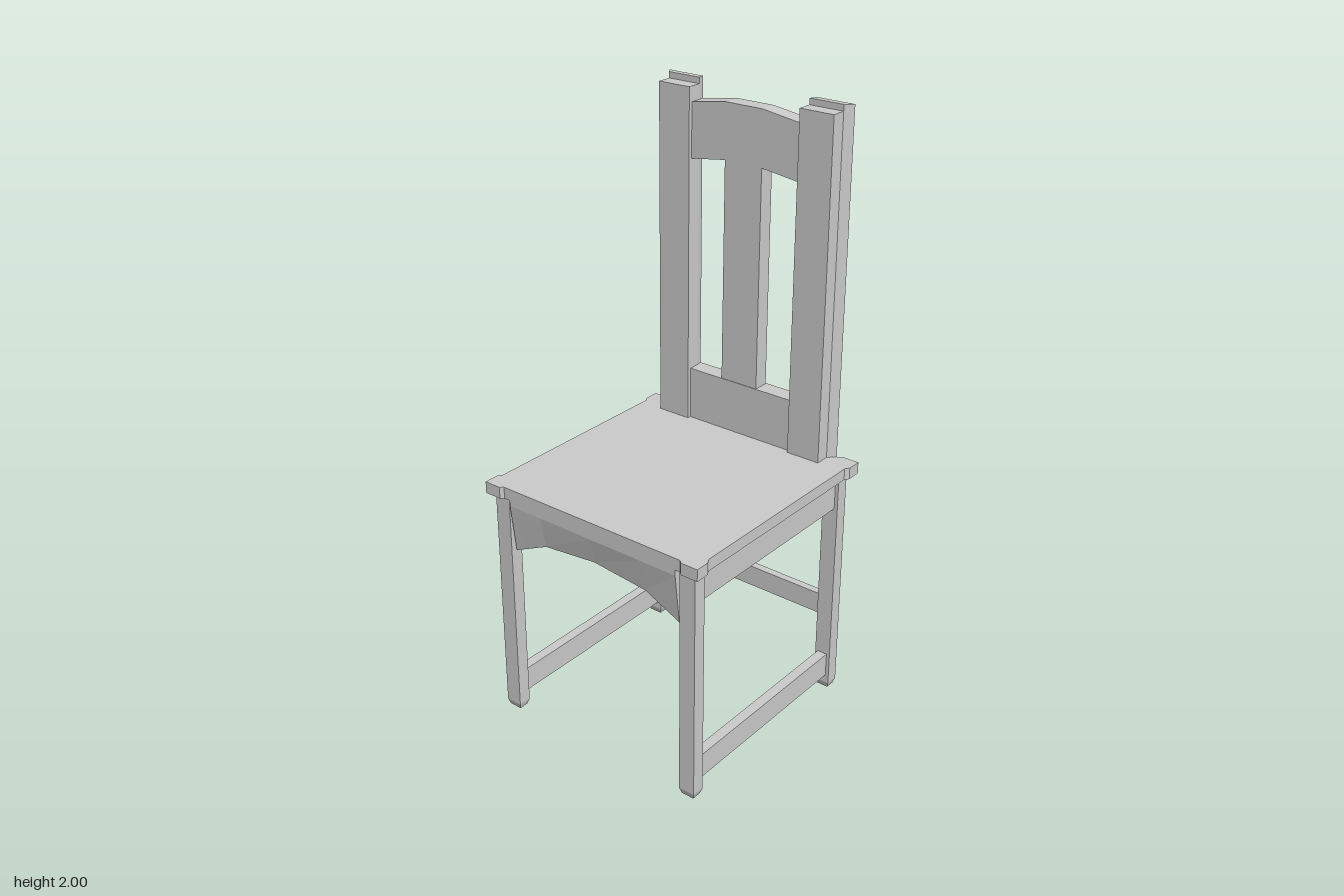
import * as THREE from 'three';

const material = new THREE.MeshStandardMaterial({ color: 0xcccccc, flatShading: true, side: THREE.DoubleSide });

function add(group, name, geometry) {
  const mesh = new THREE.Mesh(geometry, material);
  mesh.name = name;
  group.add(mesh);
  return mesh;
}

// Box given by its extents on each axis
function box(group, name, [x0, x1], [y0, y1], [z0, z1]) {
  const g = new THREE.BoxGeometry(x1 - x0, y1 - y0, z1 - z0);
  g.translate((x0 + x1) / 2, (y0 + y1) / 2, (z0 + z1) / 2);
  return add(group, name, g);
}

function extrude(points, depth) {
  const shape = new THREE.Shape(points.map(([x, y]) => new THREE.Vector2(x, y)));
  return new THREE.ExtrudeGeometry(shape, { depth, bevelEnabled: false });
}

// Outline in plan (x, z), raised from y0 to y1
function slab(group, name, plan, y0, y1) {
  const g = extrude(plan.map(([x, z]) => [x, -z]), y1 - y0);
  g.rotateX(-Math.PI / 2).translate(0, y0, 0);
  return add(group, name, g);
}

// Outline in elevation (z, y), running from x0 to x1
function panel(group, name, outline, x0, x1) {
  const g = extrude(outline.map(([z, y]) => [-z, y]), x1 - x0);
  g.rotateY(Math.PI / 2).translate(x0, 0, 0);
  return add(group, name, g);
}

// Closed skin through equal-length rings of points
function loft(group, name, rings) {
  const n = rings[0].length, index = [];
  for (let i = 0; i < rings.length - 1; i++) {
    for (let j = 0; j < n; j++) {
      const a = i * n + j, b = i * n + (j + 1) % n;
      index.push(a, b, a + n, b, b + n, a + n);
    }
  }
  const last = (rings.length - 1) * n;
  for (let j = 1; j < n - 1; j++) index.push(0, j + 1, j, last, last + j, last + j + 1);
  const g = new THREE.BufferGeometry();
  g.setAttribute('position', new THREE.Float32BufferAttribute(rings.flat(2), 3));
  g.setIndex(index);
  g.computeVertexNormals();
  return add(group, name, g);
}

export function createModel() {
  const chair = new THREE.Group();
  chair.name = 'chair';

  // Seat board with a protruding block at every corner
  const e = 0.41, c = 0.42;
  const corner = [[e, 0.35], [c, 0.36], [c, c], [0.37, c], [0.355, e]];
  const flip = (sx, sz, pts) => pts.map(([x, z]) => [x * sx, z * sz]);
  const back = [...corner].reverse();
  slab(chair, 'seat', [
    ...corner, ...flip(-1, 1, back), ...flip(-1, -1, corner), ...flip(1, -1, back),
  ], 0.81, 0.85);

  // Legs, narrowed slightly at the feet
  for (const [x0, x1, label] of [[-0.4, -0.355, 'frontLeg'], [0.345, 0.39, 'backLeg']]) {
    for (const s of [-1, 1]) {
      const ring = (y, inset) => [
        [x0 + inset, y, s * 0.34 + s * inset], [x0 + inset, y, s * (0.397 - inset)],
        [x1 - inset, y, s * (0.397 - inset)], [x1 - inset, y, s * 0.34 + s * inset],
      ];
      const rings = [ring(0, 0.006), ring(0.02, 0), ring(0.81, 0)];
      loft(chair, label, s > 0 ? rings.map((r) => r.reverse()) : rings.map((r) => r.reverse()).reverse());
    }
  }

  // Closed apron block under the seat
  slab(chair, 'apron', [
    [0.345, 0.33], [0.345, 0.385], [-0.35, 0.385], [-0.35, -0.385],
    [0.345, -0.385], [0.345, -0.33], [0.38, -0.33], [0.38, 0.33],
  ], 0.70, 0.81);

  // Arched front apron, its underside sloping up towards the seat block
  const arch = [[-0.33, 0.62], [-0.2, 0.68], [0, 0.70], [0.2, 0.68], [0.33, 0.62]];
  loft(chair, 'frontApron', arch.map(([z, y]) => [
    [-0.408, 0.81, z], [-0.408, 0.79, z], [-0.388, y, z], [-0.375, y, z], [-0.345, 0.70, z], [-0.345, 0.81, z],
  ]));

  // Stretchers
  for (const s of [-1, 1]) {
    box(chair, 'sideStretcher', [-0.36, 0.35], [0.05, 0.135], s > 0 ? [0.35, 0.385] : [-0.385, -0.35]);
  }
  box(chair, 'backStretcher', [0.353, 0.38], [0.28, 0.355], [-0.345, 0.345]);

  // Backrest posts: a front strip and a taller, flared rear strip
  for (const s of [-1, 1]) {
    const z = (v) => s * v - 0.004;
    box(chair, 'postFront', [0.335, 0.385], [0.85, 1.98], [z(0.265) - 0.06, z(0.265) + 0.06]);
    const plan = [[0.385, z(0.325)], [0.408, s * 0.345], [0.408, s * 0.213], [0.385, z(0.205)]];
    slab(chair, 'postRear', plan, 0.85, 2.0);
  }

  // Lower panel of the backrest
  box(chair, 'lowerPanel', [0.348, 0.408], [0.85, 1.03], [-0.22, 0.22]);

  // Crest rail, arched along both edges
  panel(chair, 'crestRail', [
    [-0.215, 1.75], [-0.08, 1.77], [0.06, 1.77], [0.215, 1.75],
    [0.215, 1.93], [0.06, 1.952], [-0.08, 1.952], [-0.215, 1.93],
  ], 0.348, 0.406);

  // Central slat
  box(chair, 'slat', [0.35, 0.404], [1.02, 1.78], [-0.08, 0.06]);

  return chair;
}
